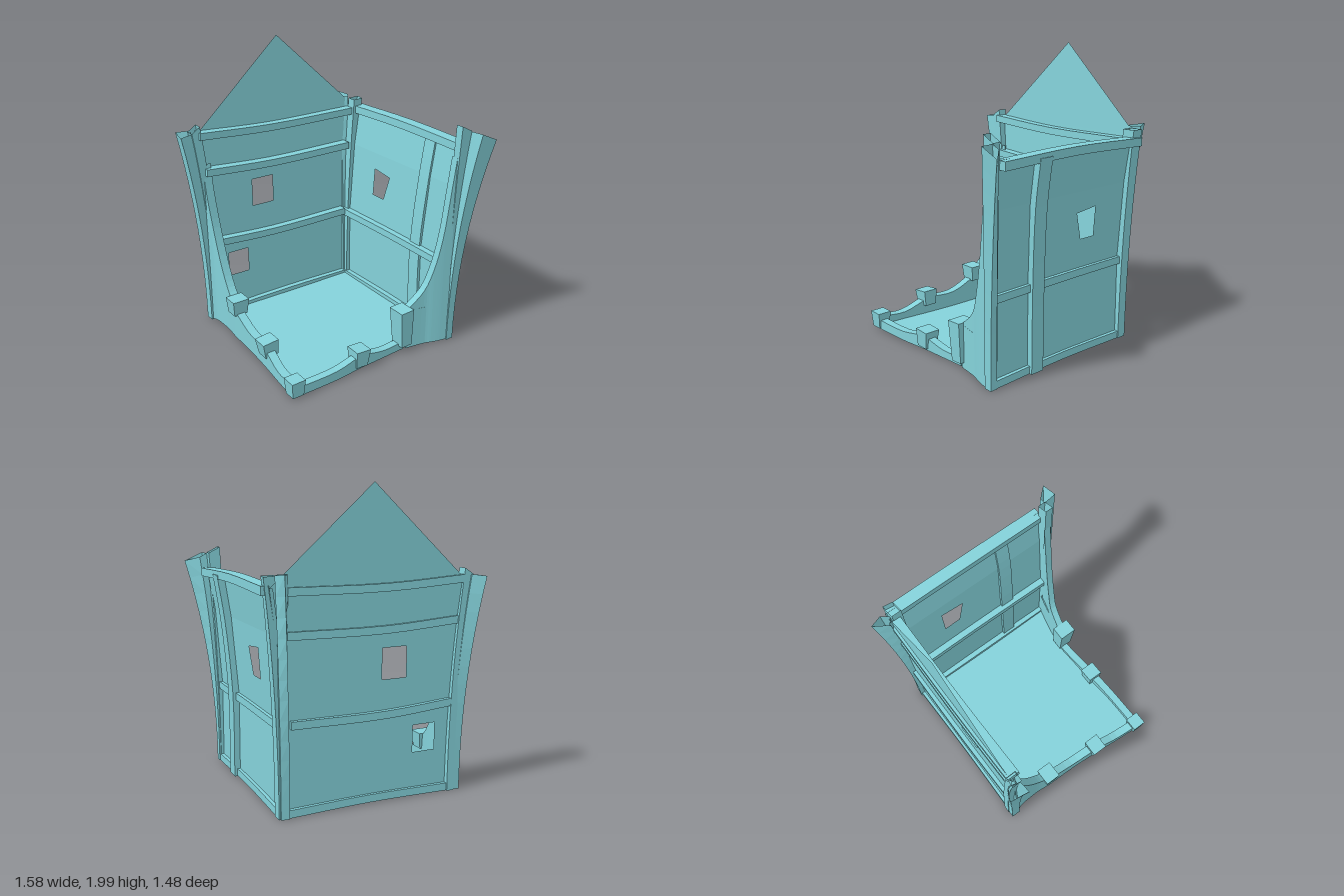
import * as THREE from 'three';

const V = (p) => new THREE.Vector3(...p);
const X = V([1, 0, 0]), Z = V([0, 0, 1]);

export function createModel() {
  const group = new THREE.Group();
  const mat = new THREE.MeshStandardMaterial({ color: 0x84d2da, flatShading: true });
  const thin = mat.clone();
  thin.side = THREE.DoubleSide;

  function add(name, geo, material = mat) {
    geo.computeVertexNormals();
    const mesh = new THREE.Mesh(geo, material);
    mesh.name = name;
    group.add(mesh);
  }

  // Timber: a box swept along a curve; w lies along the side axis, h across it.
  // With a ground height the lower face drops to it, making a solid low wall.
  function timber(name, points, side, w, h, ground) {
    const n = (points.length - 1) * 4;
    const curve = new THREE.CatmullRomCurve3(points.map(V));
    const geo = new THREE.BoxGeometry(w, h, 1, 1, 1, n);
    const pos = geo.attributes.position;
    for (let i = 0; i < pos.count; i++) {
      const t = Math.min(1, Math.max(0, pos.getZ(i) + 0.5));
      const up = curve.getTangent(t).cross(side).normalize();
      const p = curve.getPoint(t).addScaledVector(side, pos.getX(i));
      if (ground === undefined) p.addScaledVector(up, pos.getY(i));
      else if (pos.getY(i) * up.y < 0) p.y = ground;
      pos.setXYZ(i, p.x, p.y, p.z);
    }
    add(name, geo, ground === undefined ? mat : thin);
  }

  // Outward lean of a wall at height y, from [height, offset] pairs
  function lean(profile, y) {
    let i = 1;
    while (i < profile.length - 1 && y > profile[i][0]) i++;
    const [a, b] = [profile[i - 1], profile[i]];
    return a[1] + (b[1] - a[1]) * (y - a[0]) / (b[0] - a[0]);
  }

  // Wall sheet with window holes, leaning with the profile
  function panel(name, outline, holes, profile, turn) {
    const shape = new THREE.Shape(outline.map((p) => new THREE.Vector2(...p)));
    holes.forEach((h) => shape.holes.push(new THREE.Path(h.map((p) => new THREE.Vector2(...p)))));
    const geo = new THREE.ShapeGeometry(shape);
    const pos = geo.attributes.position;
    for (let i = 0; i < pos.count; i++) pos.setZ(i, lean(profile, pos.getY(i)));
    if (turn) geo.rotateY(Math.PI / 2);
    add(name, geo, thin);
  }

  const backLean = [[0, -0.59], [0.6, -0.598], [1.12, -0.608], [1.42, -0.618]];
  const sideLean = [[0, 0.58], [0.6, 0.578], [1.12, 0.615], [1.42, 0.66]];
  const levels = [0.02, 0.6, 1.12, 1.42];
  const rect = (a, b, c, d) => [[a, c], [a, d], [b, d], [b, c]];

  // Back and side walls, built storey by storey
  const backEdges = [[-0.61, 0.57], [-0.62, 0.58], [-0.65, 0.6], [-0.68, 0.64]];
  const sideEdges = [[-0.59, 0.59], [-0.59, 0.59], [-0.6, 0.6], [-0.62, 0.61]];
  const backHoles = [[rect(-0.47, -0.31, 0.3, 0.48)], [rect(-0.25, -0.08, 0.8, 1.0)], []];
  const sideHoles = [[], [[[0.1, 0.98], [0.27, 1.0], [0.27, 0.8], [0.15, 0.8]]], []];
  for (let i = 0; i < 3; i++) {
    const quad = (e) => [[e[i][0], levels[i]], [e[i][1], levels[i]],
      [e[i + 1][1], levels[i + 1]], [e[i + 1][0], levels[i + 1]]];
    panel('backWall', quad(backEdges), backHoles[i], backLean, false);
    // the turned panel has its local x along -z
    panel('sideWall', quad(sideEdges.map(([a, b]) => [-b, -a])), sideHoles[i], sideLean, true);
  }

  // Gable sheet
  const gable = new THREE.BufferGeometry();
  gable.setAttribute('position', new THREE.Float32BufferAttribute(
    [-0.66, 1.4, -0.618, 0.66, 1.4, -0.618, 0, 2, -0.637], 3));
  add('gable', gable, thin);

  // Horizontal beams
  const backBeams = [[0.585, -0.6, 0.53, -0.582], [1.12, -0.63, 0.56, -0.58], [1.38, -0.66, 0.6, -0.592]];
  backBeams.forEach(([y, a, b, z]) => timber('backBeam',
    [[a, y + 0.025, z], [-0.1, y - 0.005, z - 0.004], [b, y, z]], Z, 0.085, 0.05));
  timber('sideBeam', [[0.565, 0.575, 0.58], [0.567, 0.58, 0], [0.565, 0.575, -0.58]], X, 0.07, 0.05);
  timber('topSideBeam', [[0.66, 1.39, 0.6], [0.655, 1.405, 0], [0.66, 1.39, -0.6]], X, 0.085, 0.055);
  timber('sideSill', [[0.575, 0.035, 0.58], [0.57, 0.045, 0], [0.575, 0.035, -0.58]], X, 0.06, 0.05);
  timber('backSill', [[-0.6, 0.035, -0.585], [0, 0.045, -0.58], [0.57, 0.035, -0.585]], Z, 0.06, 0.05);

  // Upright stud on the side wall
  timber('sideStud', [[0.59, 0.015, 0.25], [0.592, 0.6, 0.25], [0.63, 1.1, 0.27], [0.675, 1.4, 0.275]], X, 0.06, 0.1);

  // Corner post boards: hollow and four-sided, flaring to slanted open tops.
  // The foot lists [x, z], the top lists [x, y, z]
  function post(name, foot, top) {
    const n = 12;
    const geo = new THREE.PlaneGeometry(1, 1, 4, n);
    const pos = geo.attributes.position;
    for (let i = 0; i < pos.count; i++) {
      const k = (i % 5) % 4, t = Math.floor(i / 5) / n, f = Math.pow(t, 2.1);
      const [[a, b], [x, y, z]] = [foot[k], top[k]];
      pos.setXYZ(i, a + (x - a) * f, 0.01 + (y - 0.01) * t, b + (z - b) * f);
    }
    add(name, geo, thin);
  }
  post('backRightPostOuter', [[-0.595, -0.56], [-0.595, -0.62], [-0.655, -0.62], [-0.655, -0.555]],
    [[-0.71, 1.425, -0.58], [-0.69, 1.43, -0.65], [-0.77, 1.42, -0.7], [-0.79, 1.415, -0.57]]);
  post('backRightPostInner', [[-0.56, -0.555], [-0.56, -0.625], [-0.61, -0.625], [-0.61, -0.555]],
    [[-0.65, 1.47, -0.57], [-0.65, 1.47, -0.635], [-0.71, 1.43, -0.635], [-0.71, 1.43, -0.57]]);
  post('backLeftPostOuter', [[0.54, -0.57], [0.545, -0.625], [0.6, -0.62], [0.6, -0.57]],
    [[0.55, 1.48, -0.64], [0.61, 1.49, -0.74], [0.64, 1.48, -0.66], [0.6, 1.48, -0.61]]);
  post('backLeftPostInner', [[0.55, -0.54], [0.55, -0.6], [0.61, -0.61], [0.61, -0.54]],
    [[0.6, 1.47, -0.53], [0.6, 1.47, -0.6], [0.69, 1.47, -0.61], [0.68, 1.47, -0.54]]);
  post('frontLeftPostOuter', [[0.555, 0.58], [0.555, 0.63], [0.61, 0.63], [0.61, 0.58]],
    [[0.65, 1.515, 0.645], [0.66, 1.515, 0.735], [0.785, 1.46, 0.735], [0.7, 1.49, 0.645]]);
  post('frontLeftPostInner', [[0.545, 0.57], [0.545, 0.615], [0.6, 0.615], [0.6, 0.57]],
    [[0.57, 1.56, 0.59], [0.57, 1.56, 0.645], [0.65, 1.52, 0.645], [0.65, 1.52, 0.59]]);

  // Broken walls falling in a curve to low curbs
  const ground = 0.015;
  timber('rightBrokenWall', [[-0.615, 1.2, -0.575], [-0.61, 1.0, -0.55], [-0.595, 0.75, -0.51],
    [-0.59, 0.5, -0.43], [-0.59, 0.35, -0.35], [-0.6, 0.26, -0.25]], X, 0.06, 0.05, ground);
  timber('rightCurb', [[-0.6, 0.23, -0.25], [-0.605, 0.15, -0.04], [-0.62, 0.15, 0.18],
    [-0.64, 0.09, 0.38], [-0.655, 0.1, 0.56]], X, 0.06, 0.05, ground);
  timber('frontBrokenWall', [[0.56, 1.35, 0.6], [0.535, 1.15, 0.595], [0.49, 0.8, 0.585],
    [0.44, 0.58, 0.57], [0.38, 0.43, 0.55], [0.25, 0.31, 0.53]], Z, 0.05, 0.05, ground);
  timber('leftFrontFooting', [[0.25, 0.31, 0.53], [0.4, 0.3, 0.555], [0.58, 0.3, 0.6]], Z, 0.05, 0.05, ground);
  timber('frontCurb', [[0.23, 0.07, 0.52], [0.05, 0.07, 0.53], [-0.14, 0.105, 0.54],
    [-0.35, 0.08, 0.56], [-0.65, 0.08, 0.565]], Z, 0.055, 0.05, ground);

  // Stubby posts along the low edges: [x, y, z, width, height, depth, tilt]
  const stubs = [[-0.6, 0.255, -0.25, 0.11, 0.11, 0.1, 0], [-0.62, 0.155, 0.18, 0.105, 0.11, 0.1, 0.1],
    [-0.655, 0.075, 0.56, 0.09, 0.11, 0.09, 0], [-0.14, 0.09, 0.535, 0.1, 0.12, 0.1, -0.06],
    [0.225, 0.19, 0.535, 0.095, 0.27, 0.115, 0.04]];
  for (const [x, y, z, w, h, d, tilt] of stubs) {
    const geo = new THREE.BoxGeometry(w, h, d);
    const pos = geo.attributes.position;
    for (let i = 0; i < pos.count; i++) {
      const k = pos.getY(i) > 0 ? 1.1 : 0.9;
      pos.setX(i, pos.getX(i) * k);
      pos.setZ(i, pos.getZ(i) * k);
    }
    geo.rotateZ(tilt);
    geo.translate(x, y, z);
    add('stubPost', geo);
  }

  // Floor slab
  const floorShape = new THREE.Shape([[-0.67, 0.56], [-0.62, 0.15], [-0.6, -0.2], [-0.6, -0.59],
    [0.57, -0.59], [0.575, 0.59], [0.25, 0.53], [-0.15, 0.54]].map((p) => new THREE.Vector2(...p)));
  const floor = new THREE.ExtrudeGeometry(floorShape, { depth: 0.025, bevelEnabled: false });
  floor.rotateX(Math.PI / 2);
  floor.translate(0, 0.04, 0);
  add('floor', floor);

  return group;
}
